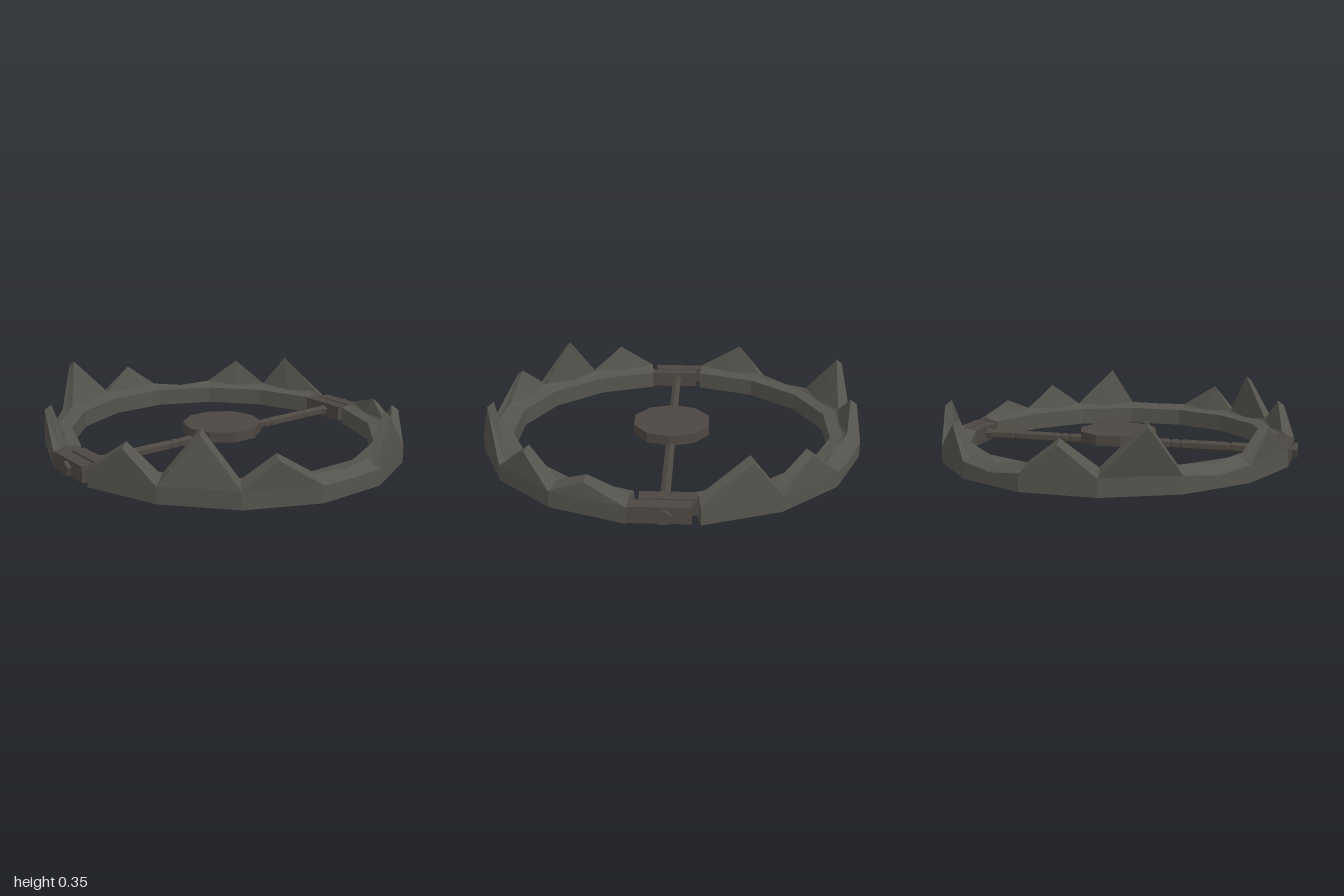
import * as THREE from 'three';

const steel = new THREE.MeshStandardMaterial({ color: 0x55534d, flatShading: true });
const iron = new THREE.MeshStandardMaterial({ color: 0x4d4742, flatShading: true });

// Corners of one jaw's outer edge [x, z], from back to front
const corners = [[0.17, -0.93], [0.55, -0.79], [0.84, -0.53], [1, -0.185],
  [1, 0.185], [0.84, 0.53], [0.55, 0.79], [0.17, 0.93]];

// Tooth tips [x, z, height] per jaw segment; low heights are missing teeth
const rightTeeth = [[0.36, -0.81, 0.19], [0.66, -0.63, 0.25], [0.9, -0.3, 0.33], [0.95, 0, 0.115],
  [0.89, 0.375, 0.25], [0.64, 0.605, 0.35], [0.355, 0.82, 0.255]];
const leftTeeth = [[-0.39, 0.82, 0.265], [-0.67, 0.62, 0.095], [-0.935, 0.39, 0.34], [-0.965, 0, 0.25],
  [-0.88, -0.34, 0.095], [-0.665, -0.63, 0.255], [-0.39, -0.805, 0.3]];

// Cross-section at one station: outer wall, tooth crest, inner ledge, inner wall
function section([x, z], [px, pz, h]) {
  const at = (k, y) => [x * k, y, z * k];
  const r = Math.hypot(px, pz), out = (r + 0.035) / r;
  return [at(1, 0), at(1, Math.min(0.09, h - 0.035)),
    [px * out, h - 0.025, pz * out], [px, h, pz],
    at(0.912, 0.105), at(0.845, 0.095), at(0.845, 0)];
}

function jawGeometry(sign, teeth) {
  const v = corners.map(([x, z]) => [x * sign, z * sign]);
  const rings = [];
  v.forEach((c, i) => {
    rings.push(section(c, [c[0] * 0.93, c[1] * 0.93, 0.12]));
    if (i < teeth.length) {
      const n = v[i + 1];
      rings.push(section([(c[0] + n[0]) / 2, (c[1] + n[1]) / 2], teeth[i]));
    }
  });
  const pos = [];
  const tri = (a, b, c) => pos.push(...a, ...b, ...c);
  const count = rings[0].length;
  for (let s = 0; s < rings.length - 1; s++) {
    for (let p = 0; p < count; p++) {
      const q = (p + 1) % count;
      const a = rings[s][p], b = rings[s][q], c = rings[s + 1][q], d = rings[s + 1][p];
      // split so each tooth face stays symmetric about its tip
      if (s % 2) { tri(a, b, d); tri(b, c, d); } else { tri(a, b, c); tri(a, c, d); }
    }
  }
  // end caps
  const first = rings[0], last = rings[rings.length - 1];
  for (let p = 1; p < count - 1; p++) {
    tri(first[0], first[p + 1], first[p]);
    tri(last[0], last[p], last[p + 1]);
  }
  const g = new THREE.BufferGeometry();
  g.setAttribute('position', new THREE.Float32BufferAttribute(pos, 3));
  g.computeVertexNormals();
  return g;
}

export function createModel() {
  const model = new THREE.Group();
  const add = (name, geometry, material, x = 0, y = 0, z = 0, parent = model) => {
    const m = new THREE.Mesh(geometry, material);
    m.name = name;
    m.position.set(x, y, z);
    parent.add(m);
    return m;
  };

  // Toothed jaws with overlapping hinge tabs
  for (const [name, sign, teeth] of [['leftJaw', 1, rightTeeth], ['rightJaw', -1, leftTeeth]]) {
    const jaw = new THREE.Group();
    jaw.name = name;
    model.add(jaw);
    add(name + 'Teeth', jawGeometry(sign, teeth), steel, 0, 0, 0, jaw);
    const tab = new THREE.BoxGeometry(0.3, 0.085, 0.07);
    add('outerHingeTab', tab, iron, 0.02 * sign, 0.05, -0.9 * sign, jaw);
    add('innerHingeTab', tab, iron, 0.03 * sign, 0.05, 0.818 * sign, jaw);
  }

  // Crossbar with shallow grooves
  const profile = [[0, -0.87], [0.027, -0.87]];
  for (const z of [-0.61, -0.34, -0.29, 0.29, 0.34, 0.61])
    profile.push([0.027, z - 0.01], [0.021, z - 0.004], [0.021, z + 0.004], [0.027, z + 0.01]);
  profile.push([0.027, 0.87], [0, 0.87]);
  const barGeometry = new THREE.LatheGeometry(profile.map(p => new THREE.Vector2(...p)), 6);
  add('crossbar', barGeometry.rotateX(Math.PI / 2), iron, 0, 0.05, 0);

  // Pressure plate
  add('pressurePlate', new THREE.CylinderGeometry(0.215, 0.215, 0.055, 10), iron, 0, 0.088, -0.005);

  // Five-sided hinge bolts, front and back
  for (const side of [1, -1]) {
    const bolt = (r, l) => new THREE.CylinderGeometry(r, r, l, 5).rotateX(-Math.PI / 2);
    add('hingePin', bolt(0.03, 0.2), iron, 0, 0.05, side * 0.855);
    add('hingeBoltHead', bolt(0.04, 0.02), iron, 0, 0.05, side * 0.952);
  }
  return model;
}
